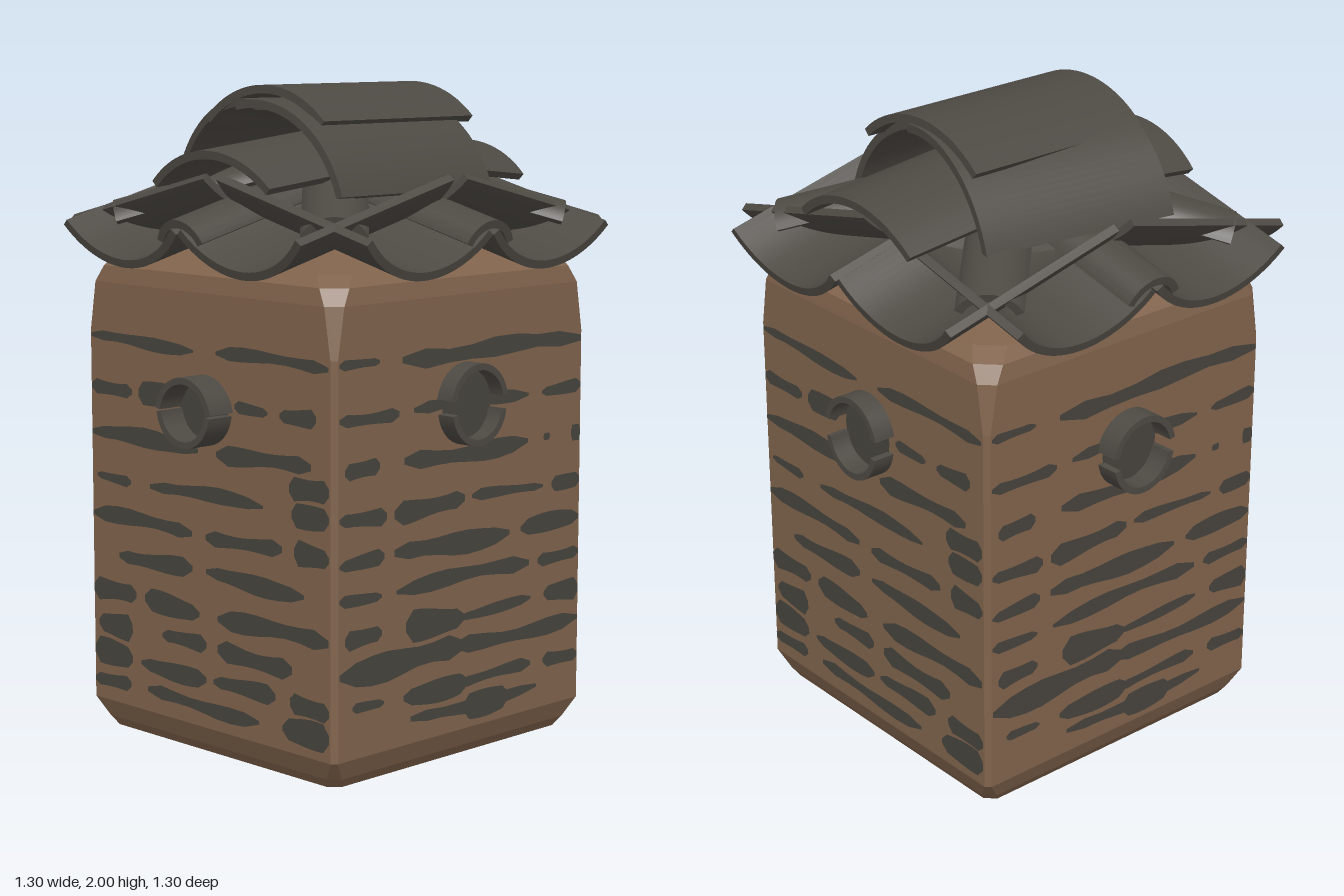
import * as THREE from 'three';
import { toCreasedNormals } from 'three/addons/utils/BufferGeometryUtils.js';

const wood = new THREE.MeshStandardMaterial({ color: 0x80634c });
wood.name = 'brown wood';
const bark = new THREE.MeshStandardMaterial({ color: 0x4d4943 });
bark.name = 'grey bark';
const streak = new THREE.MeshStandardMaterial({ color: 0x47443e });
streak.name = 'dark streak';

const rad = THREE.MathUtils.degToRad;

// Curved tile: crest on the origin, running along +z
function tileGeometry(chord, sag, length, thick = 0.025) {
  const R = (chord * chord / 4 + sag * sag) / (2 * sag);
  const a = Math.asin(Math.min(1, chord / 2 / R));
  const s = new THREE.Shape();
  s.absarc(0, -R, R, Math.PI / 2 - a, Math.PI / 2 + a, false);
  s.absarc(0, -R, R - thick, Math.PI / 2 + a, Math.PI / 2 - a, true);
  const g = new THREE.ExtrudeGeometry(s, { depth: length, bevelEnabled: false, curveSegments: 14 });
  return toCreasedNormals(g, rad(35));
}

// Tile heading at yaw, dropping by tilt, turned about its own length by roll (degrees)
function addTile(parent, name, [chord, sag, length, thick], pos, yaw, tilt = 0, roll = 0) {
  const m = new THREE.Mesh(tileGeometry(chord, sag, length, thick), bark);
  m.name = name;
  m.rotation.set(rad(tilt), rad(yaw), rad(roll), 'YXZ');
  m.position.set(...pos);
  parent.add(m);
}

// Square block with chamfered corners, lofted through [y, half width, chamfer]
function bodyGeometry() {
  const levels = [
    [0, 0.001, 0.0003], [0, 0.495, 0.03], [0.03, 0.515, 0.03], [0.09, 0.54, 0.015],
    [1.25, 0.54, 0.015], [1.4, 0.54, 0.04], [1.45, 0.53, 0.06], [1.48, 0.49, 0.07], [1.6, 0.001, 0.0003],
  ];
  const rings = levels.map(([y, h, c]) => {
    const k = h - c;
    return [[h, k], [k, h], [-k, h], [-h, k], [-h, -k], [-k, -h], [k, -h], [h, -k]].map(([x, z]) => [x, y, z]);
  });
  const v = [];
  for (let i = 0; i < rings.length - 1; i++) {
    for (let j = 0; j < 8; j++) {
      const n = (j + 1) % 8;
      const a = rings[i][j], b = rings[i][n], c = rings[i + 1][n], d = rings[i + 1][j];
      v.push(...a, ...d, ...c, ...a, ...c, ...b);
    }
  }
  const g = new THREE.BufferGeometry();
  g.setAttribute('position', new THREE.Float32BufferAttribute(v, 3));
  g.computeVertexNormals();
  return g;
}

// Bark streaks per wall: [height, [from, to, thickness], ...]
const wallA = [
  [1.23, [-0.53, -0.36, 0.03], [-0.27, 0.52, 0.05]],
  [1.08, [-0.53, -0.28, 0.04], [-0.22, 0.28, 0.035], [0.34, 0.53, 0.035]],
  [0.93, [-0.5, -0.36, 0.06], [-0.26, 0.28, 0.05], [0.35, 0.38, 0.025], [0.48, 0.53, 0.04]],
  [0.79, [-0.53, -0.33, 0.05], [-0.3, 0, 0.06], [0.03, 0.35, 0.03], [0.39, 0.53, 0.04]],
  [0.665, [-0.53, -0.34, 0.04], [-0.3, 0.2, 0.06], [0.25, 0.52, 0.05]],
  [0.56, [-0.53, -0.35, 0.03], [-0.29, 0.29, 0.045], [0.33, 0.53, 0.045]],
  [0.44, [-0.5, -0.35, 0.06], [-0.25, 0, 0.08], [-0.03, 0.3, 0.03], [0.36, 0.53, 0.06]],
  [0.345, [-0.53, 0, 0.075], [-0.05, 0.53, 0.045]],
  [0.235, [-0.47, -0.34, 0.025], [-0.26, 0.02, 0.06], [-0.02, 0.3, 0.035], [0.36, 0.53, 0.05]],
  [0.16, [-0.23, 0.33, 0.04], [0, 0.2, 0.07]],
];
const wallB = [
  [1.23, [-0.52, -0.05, 0.035], [0.05, 0.52, 0.035]],
  [1.08, [-0.52, -0.33, 0.05], [-0.3, -0.14, 0.06], [0.13, 0.27, 0.03], [0.32, 0.47, 0.05]],
  [0.935, [-0.53, -0.03, 0.05], [0.05, 0.45, 0.05]],
  [0.87, [0.36, 0.53, 0.08]],
  [0.8, [-0.5, -0.34, 0.03], [-0.25, 0.25, 0.04], [0.37, 0.53, 0.06]],
  [0.68, [-0.53, -0.06, 0.045], [0, 0.33, 0.045], [0.38, 0.53, 0.07]],
  [0.565, [-0.4, -0.06, 0.05], [0, 0.42, 0.05]],
  [0.44, [-0.53, -0.32, 0.07], [-0.28, -0.03, 0.06], [0.05, 0.52, 0.055]],
  [0.34, [-0.5, -0.34, 0.07], [-0.2, 0, 0.05], [0.05, 0.37, 0.06]],
  [0.24, [-0.52, -0.34, 0.07], [-0.3, 0, 0.05], [0.03, 0.3, 0.05], [0.36, 0.53, 0.07]],
  [0.155, [-0.53, -0.35, 0.05], [-0.27, 0.23, 0.04], [0.33, 0.53, 0.07]],
];

// Flat streak with rounded ends and a wavering width
function streakShape(y, x0, x1, thick) {
  x0 = Math.max(x0, -0.522);
  x1 = Math.min(x1, 0.522);
  const n = 8, top = [], bottom = [];
  for (let i = 0; i <= n; i++) {
    const t = i / n, x = x0 + (x1 - x0) * t;
    const end = i === 0 || i === n ? 0.3 : 1;
    const wave = Math.sin(x * 17 + y * 40);
    const mid = y + 0.006 * Math.sin(x * 9 + y * 25);
    const h = thick * 0.5 * end * (1 + 0.25 * wave);
    top.unshift(new THREE.Vector2(x, mid + h));
    bottom.push(new THREE.Vector2(x, mid - h));
  }
  return new THREE.Shape([...bottom, ...top]);
}

export function createModel() {
  const model = new THREE.Group();
  model.name = 'tiledHive';

  const body = new THREE.Mesh(bodyGeometry(), wood);
  body.name = 'body';
  model.add(body);

  // Four walls: streaks and a split pipe, [yaw, streaks, pipe top, pipe bottom, reach]
  const walls = [
    [0, wallA, 1.2, 0.955, 0.6], [90, wallB, 1.2, 0.94, 0.61],
    [180, wallA, 1.175, 0.93, 0.615], [270, wallB, 1.16, 0.95, 0.63],
  ];
  for (const [yaw, rows, top, bottom, reach] of walls) {
    const wall = new THREE.Group();
    wall.name = 'wallDetails';
    wall.rotation.y = rad(yaw);
    const shapes = rows.flatMap(([y, ...bars]) => bars.map((b) => streakShape(y, ...b)));
    const streaks = new THREE.Mesh(new THREE.ShapeGeometry(shapes), streak);
    streaks.name = 'barkStreaks';
    streaks.position.z = 0.543;
    wall.add(streaks);

    addTile(wall, 'pipeUpperShell', [0.24, 0.1, reach - 0.45, 0.02], [0, top, 0.45], 0);
    addTile(wall, 'pipeLowerShell', [0.23, 0.1, reach - 0.45, 0.02], [0, bottom, 0.45], 0, 0, 180);
    const hole = new THREE.Mesh(new THREE.CircleGeometry(0.105, 24), streak);
    hole.name = 'pipeOpening';
    hole.position.set(0, (top + bottom) / 2, 0.546);
    wall.add(hole);
    model.add(wall);
  }

  // Roof eaves: two channel tiles per side, with ridge caps on three sides
  const roof = new THREE.Group();
  roof.name = 'roof';
  for (const yaw of [0, 90, 180, 270]) {
    const side = new THREE.Group();
    side.name = 'eaveSide';
    side.rotation.y = rad(yaw);
    for (const s of [-1, 1]) {
      addTile(side, 'channelTile', [0.515, 0.12, 0.635], [s * 0.26, 1.615, 0], 0, 14, 180);
    }
    if (yaw !== 90) addTile(side, 'ridgeCap', [0.195, 0.065, 0.515], [0, 1.745, 0.15], 0, 14);
    roof.add(side);
  }

  // Corner cover tiles
  for (const [yaw, reach] of [[45, 0.7], [135, 0.675], [225, 0.68], [315, 0.66]]) {
    const r = 0.12, a = rad(yaw);
    addTile(roof, 'cornerTile', [0.195, 0.06, (reach - r) / Math.cos(rad(16))],
      [Math.sin(a) * r, 1.645 + (reach - r) * 0.287, Math.cos(a) * r], yaw, 16);
  }

  // Stacked top covers
  addTile(roof, 'rightCover', [0.51, 0.1, 0.53], [0, 1.87, 0], -90, 6);
  addTile(roof, 'leftCover', [0.51, 0.1, 0.588], [0, 1.872, 0], 90, 6);
  addTile(roof, 'frontCover', [0.52, 0.1, 0.635], [-0.36, 1.907, 0.215], 90, 0, 30);
  addTile(roof, 'backCover', [0.52, 0.1, 0.635], [-0.278, 1.907, -0.277], 81, 0, -30);
  addTile(roof, 'topCover', [0.51, 0.1, 0.635], [-0.3, 2, 0], 90);
  model.add(roof);

  return model;
}
